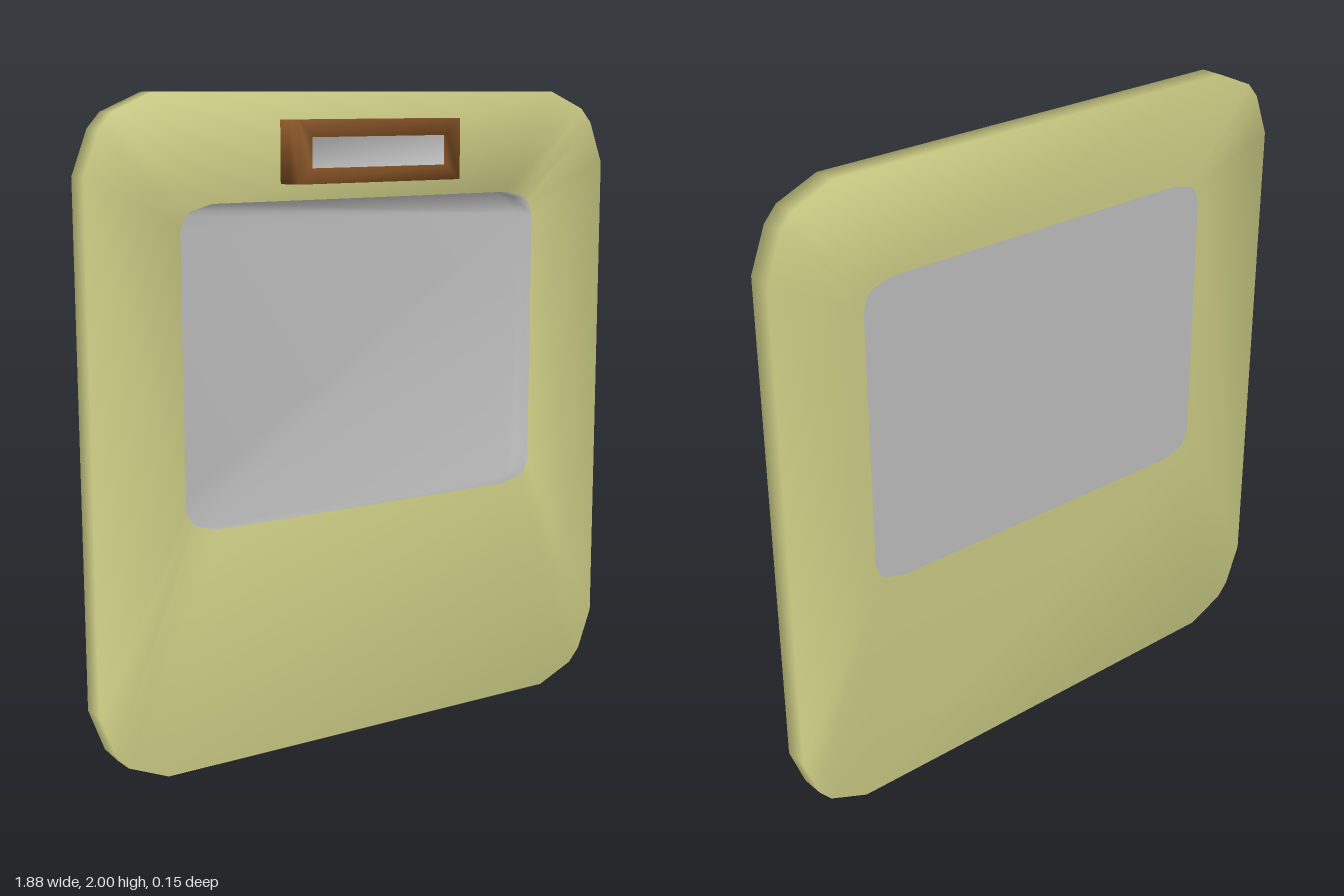
import * as THREE from 'three';

// Counter-clockwise ring from one corner profile (half-width, inset from top/bottom edge)
function cornerRing(corner, bottom, top, z) {
  const back = [...corner].reverse();
  return [
    ...corner.map(([x, d]) => [x, top - d, z]),
    ...back.map(([x, d]) => [-x, top - d, z]),
    ...corner.map(([x, d]) => [-x, bottom + d, z]),
    ...back.map(([x, d]) => [x, bottom + d, z]),
  ];
}

// Quads between two rings of n points
function strip(a, b, n) {
  const out = [];
  for (let i = 0; i < n; i++) {
    const j = (i + 1) % n;
    out.push(a * n + i, a * n + j, b * n + j, a * n + i, b * n + j, b * n + i);
  }
  return out;
}

// Fan closing a ring, facing forward or backward
function cap(r, n, forward = true) {
  const out = [];
  for (let i = 1; i < n - 1; i++) {
    const [p, q] = forward ? [i, i + 1] : [i + 1, i];
    out.push(r * n, r * n + p, r * n + q);
  }
  return out;
}

// Meshes that share welded points, so the shading flows across the colour borders
function weldedMeshes(rings, parts) {
  const whole = new THREE.BufferGeometry();
  whole.setAttribute('position', new THREE.Float32BufferAttribute(rings.flat(2), 3));
  whole.setIndex(parts.flatMap((p) => p.index));
  whole.computeVertexNormals();
  return parts.map(({ name, color, index }) => {
    const g = new THREE.BufferGeometry();
    g.setAttribute('position', whole.getAttribute('position'));
    g.setAttribute('normal', whole.getAttribute('normal'));
    g.setIndex(index);
    const mesh = new THREE.Mesh(g, new THREE.MeshStandardMaterial({ color }));
    mesh.name = name;
    return mesh;
  });
}

export function createModel() {
  const model = new THREE.Group();
  model.name = 'framedPanel';

  // Frame with cut corners around a recessed grey panel
  const outer = [[0.94, 0.23], [0.89, 0.1], [0.85, 0.055], [0.72, 0]];
  const inner = [[0.645, 0.075], [0.63, 0.035], [0.61, 0.018], [0.54, 0]];
  const back = -0.075;
  const body = [
    cornerRing(outer, 0, 2, back),
    cornerRing(outer, 0, 2, 0),
    cornerRing(inner, 0.73, 1.685, 0),
    cornerRing(inner, 0.73, 1.685, -0.06),
    cornerRing(inner, 0.73, 1.685, back),
  ];
  const n = body[0].length;
  model.add(...weldedMeshes(body, [
    { name: 'frame', color: 0xdcdc90, index: [...strip(0, 1, n), ...strip(1, 2, n), ...strip(4, 0, n)] },
    { name: 'recessedPanel', color: 0xcccccc, index: [...strip(2, 3, n), ...cap(3, n), ...cap(4, n, false)] },
  ]));

  // Label holder with bevelled ends and a sunken label
  const rect = (x, bottom, top, z) => cornerRing([[x, 0]], bottom, top, z);
  const holder = [
    rect(0.31, 1.735, 1.92, 0),
    rect(0.31, 1.735, 1.92, 0.05),
    rect(0.29, 1.735, 1.92, 0.07),
    rect(0.245, 1.78, 1.87, 0.07),
    rect(0.245, 1.78, 1.87, 0.055),
  ];
  const holderIndex = [0, 1, 2, 3].flatMap((r) => strip(r, r + 1, 4));
  model.add(...weldedMeshes(holder, [
    { name: 'labelHolder', color: 0x855325, index: holderIndex },
    { name: 'label', color: 0xcccccc, index: cap(4, 4) },
  ]));

  return model;
}
